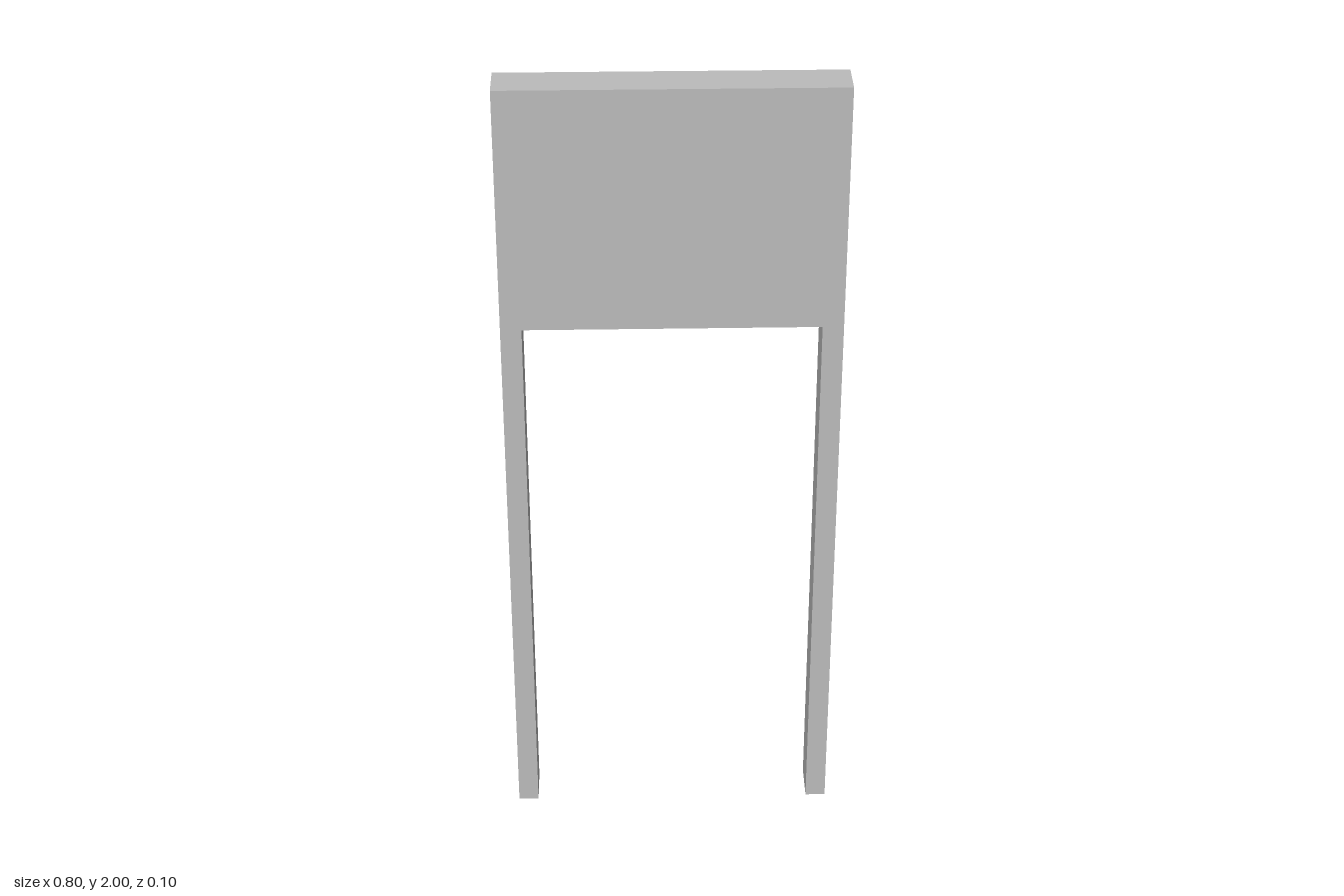
import * as THREE from 'three';

const WIDTH = 0.8, HEIGHT = 2, DEPTH = 0.1;
const LEG = 0.05, PANEL_BOTTOM = 1.4;

export function createModel() {
  const model = new THREE.Group();
  model.name = 'panelOnLegs';

  const grey = new THREE.MeshStandardMaterial({ color: 0xbcbcbc });
  grey.name = 'light grey';

  // Upper panel and both legs share one continuous outline
  const outer = WIDTH / 2, inner = outer - LEG;
  const outline = new THREE.Shape([
    [-outer, 0], [-inner, 0], [-inner, PANEL_BOTTOM], [inner, PANEL_BOTTOM],
    [inner, 0], [outer, 0], [outer, HEIGHT], [-outer, HEIGHT],
  ].map(([x, y]) => new THREE.Vector2(x, y)));

  const geometry = new THREE.ExtrudeGeometry(outline, { depth: DEPTH, bevelEnabled: false });
  geometry.translate(0, 0, -DEPTH / 2);

  const frame = new THREE.Mesh(geometry, grey);
  frame.name = 'panelWithLegs';
  model.add(frame);
  return model;
}
